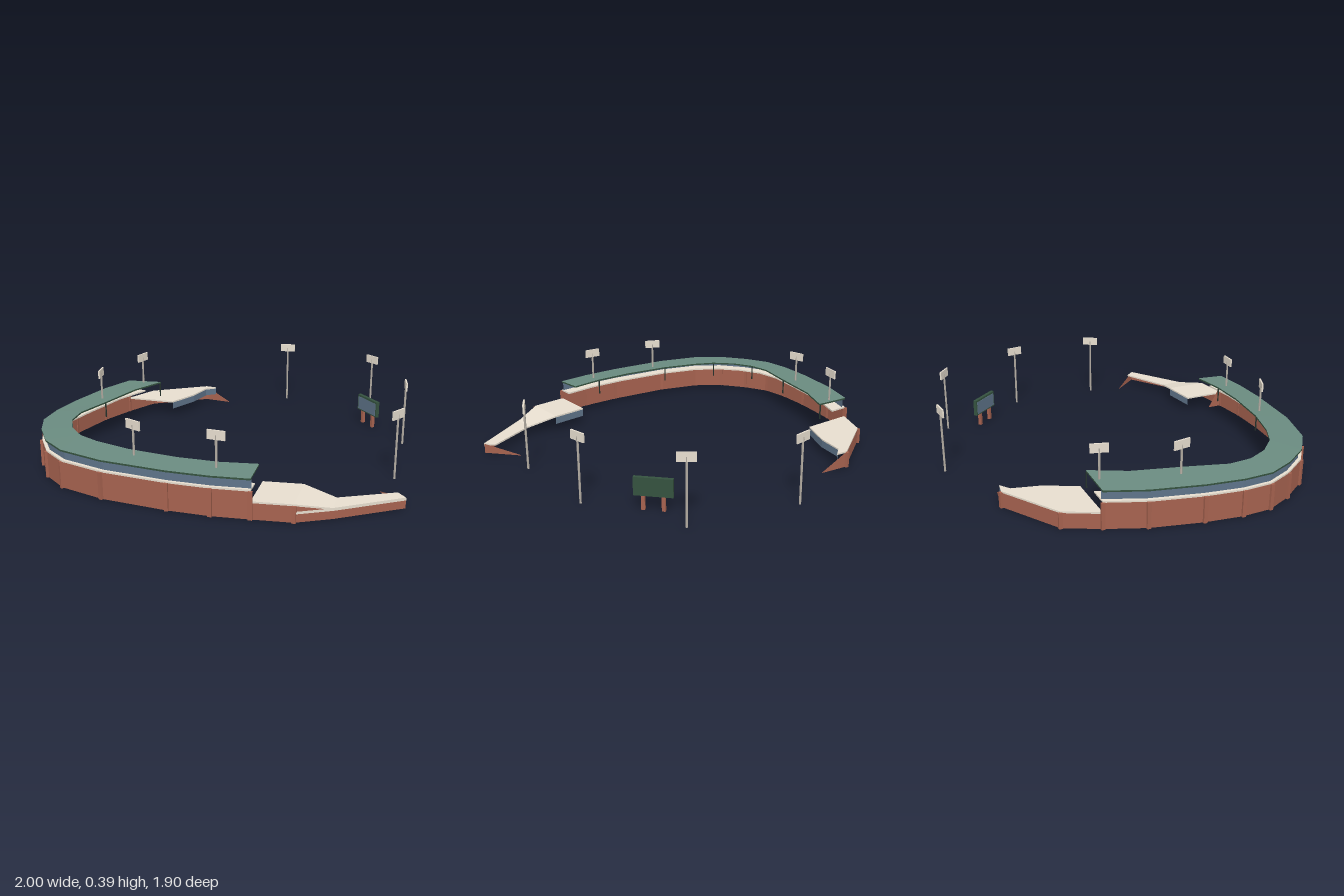
import * as THREE from 'three';

const mat = (name, color) => {
  const m = new THREE.MeshStandardMaterial({ color, side: THREE.DoubleSide, flatShading: true });
  m.name = name;
  return m;
};

export function createModel() {
  const root = new THREE.Group();
  const brick = mat('brick', 0xa6624f), concrete = mat('concrete', 0xe8dfd0);
  const glass = mat('blue glass', 0x5f748a), roofGreen = mat('roof green', 0x6a8b80);
  const darkGreen = mat('dark green', 0x35523f), dark = mat('dark steel', 0x26332d);
  const steel = mat('pole grey', 0xb4ada3);

  const add = (name, geo, material, parent = root) => {
    const m = new THREE.Mesh(geo, material);
    m.name = name;
    parent.add(m);
    return m;
  };

  // Flat-shaded ribbon between two rows of [x, y, z] points
  const ribbon = (name, a, b, material, parent) => {
    const pos = [];
    for (let i = 0; i < a.length - 1; i++) {
      pos.push(...a[i], ...b[i], ...a[i + 1], ...a[i + 1], ...b[i], ...b[i + 1]);
    }
    const g = new THREE.BufferGeometry();
    g.setAttribute('position', new THREE.Float32BufferAttribute(pos, 3));
    g.computeVertexNormals();
    return add(name, g, material, parent);
  };

  // Plan section: [outer x, outer z, inner x, inner z, deck height]; t runs outer to inner
  const row = (secs, t, y) => secs.map((s) => [
    s[0] + (s[2] - s[0]) * t, typeof y === 'function' ? y(s) : y, s[1] + (s[3] - s[1]) * t]);

  // Closed slab between two rows, with its own edge and top material
  const slab = (name, o, i, thick, top, edge) => {
    const g = new THREE.Group();
    g.name = name;
    root.add(g);
    const low = (r) => r.map(([x, y, z]) => [x, y - thick, z]);
    const ol = low(o), il = low(i), n = o.length - 1;
    ribbon(name + 'Top', o, i, top, g);
    ribbon(name + 'Underside', ol, il, edge, g);
    ribbon(name + 'OuterEdge', o, ol, edge, g);
    ribbon(name + 'InnerEdge', i, il, edge, g);
    for (const k of [0, n]) ribbon(name + 'EndEdge', [o[k], i[k]], [ol[k], il[k]], edge, g);
  };

  // Brick triangle closing the end of a stand
  const endWall = (name, [x0, z0], [x1, z1], h) => ribbon(name,
    [[x0, h, z0], [x1, 0.003, z1]], [[x0, 0, z0], [x1, 0, z1]], brick);

  // Brick pilasters standing proud of the outer wall at its corners
  const pilasters = (secs, h) => secs.forEach(([ox, oz, ix, iz]) => {
    const dir = new THREE.Vector2(ox - ix, oz - iz).normalize();
    const m = add('pilaster', new THREE.BoxGeometry(0.02, h, 0.014), brick);
    m.position.set(ox + dir.x * 0.004, h / 2, oz + dir.y * 0.004);
    m.rotation.y = Math.atan2(dir.x, dir.y);
  });

  // Main grandstand sections, from the back end round to the front end
  const main = [
    [-0.82, -0.41, -0.605, -0.405], [-0.9, -0.21, -0.7, -0.215], [-0.962, 0.06, -0.77, 0.06],
    [-0.988, 0.26, -0.83, 0.27], [-0.983, 0.42, -0.82, 0.4], [-0.92, 0.565, -0.765, 0.515],
    [-0.82, 0.71, -0.67, 0.615], [-0.685, 0.815, -0.55, 0.675], [-0.44, 0.89, -0.355, 0.735],
    [-0.09, 0.93, -0.09, 0.775], [0.125, 0.935, 0.125, 0.78], [0.315, 0.92, 0.315, 0.755]];
  ribbon('outerWall', row(main, 0, 0), row(main, 0, 0.14), brick);
  slab('upperDeck', row(main, 0, 0.149), row(main, 0.5, 0.149), 0.009, concrete, concrete);
  ribbon('windowBand', row(main, 0.1, 0.149), row(main, 0.1, 0.198), glass);
  slab('roof', row(main, 0, 0.204), row(main, 1, 0.212), 0.009, roofGreen, darkGreen);
  pilasters(main, 0.142);
  row(main, 0.97, 0).forEach(([x, , z], i) => {
    if (i % 2 === 0) {
      add('roofPost', new THREE.BoxGeometry(0.006, 0.085, 0.006), dark).position.set(x, 0.162, z);
    }
  });
  endWall('standEndWall', [0.315, 0.92], [0.315, 0.84], 0.142);

  // Low wings beyond each end of the grandstand
  const backWing = [[-0.82, -0.41, -0.53, -0.405, 0.09], [-0.73, -0.59, -0.445, -0.58, 0.09],
    [-0.42, -0.78, -0.41, -0.73, 0.09], [-0.42, -0.78, -0.355, -0.77, 0.09]];
  const frontWing = [[0.315, 0.92, 0.315, 0.68, 0.092], [0.515, 0.9, 0.515, 0.66, 0.092],
    [0.68, 0.815, 0.68, 0.695, 0.056], [0.996, 0.61, 0.953, 0.56, 0.056]];
  const top = (s) => s[4];
  for (const [side, wing] of [['back', backWing], ['front', frontWing]]) {
    slab(side + 'WingDeck', row(wing, 0, top), row(wing, 1, top), 0.009, concrete, concrete);
    ribbon(side + 'WingWall', row(wing, 0, 0), row(wing, 0, (s) => s[4] - 0.009), brick);
  }
  ribbon('backWingFascia', row(backWing, 1, 0.042), row(backWing, 1, 0.082), glass);
  ribbon('frontWingFascia', row(frontWing.slice(0, 2), 1, 0.042), row(frontWing.slice(0, 2), 1, 0.083), glass);
  pilasters(backWing.slice(1, 3), 0.085);
  pilasters([frontWing[1]], 0.085);
  endWall('wingEndWall', [-0.42, -0.78], [-0.26, -0.757], 0.088);
  endWall('wingEndWall', [0.996, 0.61], [0.86, 0.45], 0.054);

  // Concrete trim along the front wing wall
  const trim = frontWing.slice(1).map((s) => [s[0] + 0.002, s[1] + 0.003]);
  ribbon('wingTrim', trim.map(([x, z]) => [x, 0.043, z]), trim.map(([x, z]) => [x, 0.056, z]), concrete);

  // Floodlights: [x, z, panel direction x, z, base y, panel centre y]
  const lights = [
    [0.095, -0.94, 0.09, -0.01, 0, 0.35], [0.668, -0.782, 0.07, 0.055, 0, 0.35],
    [0.914, -0.265, 0.015, 0.09, 0, 0.35], [0.914, 0.262, 0.045, -0.075, 0, 0.35],
    [-0.823, 0, 0.015, 0.09, 0.2, 0.365], [-0.712, -0.38, -0.022, 0.08, 0.2, 0.37],
    [-0.3, 0.797, 0.08, 0.036, 0.2, 0.365], [0.13, 0.843, 0.09, 0.008, 0.2, 0.37]];
  for (const [x, z, dx, dz, base, y] of lights) {
    const g = new THREE.Group();
    g.name = 'floodlight';
    g.position.set(x, 0, z);
    g.rotation.y = -Math.atan2(dz, dx);
    root.add(g);
    const h = y - base;
    add('lightPole', new THREE.CylinderGeometry(0.006, 0.006, h, 6), steel, g).position.y = base + h / 2;
    add('lightPanel', new THREE.BoxGeometry(0.092, 0.047, 0.009), concrete, g).position.y = y;
  }

  // Scoreboard on brick legs, its screen facing the field
  const board = new THREE.Group();
  board.name = 'scoreboard';
  board.position.set(0.682, 0, -0.547);
  board.rotation.y = -Math.atan2(0.15, 0.13);
  root.add(board);
  add('boardPanel', new THREE.BoxGeometry(0.195, 0.095, 0.02), darkGreen, board).position.y = 0.122;
  add('boardScreen', new THREE.BoxGeometry(0.175, 0.075, 0.004), glass, board).position.set(0, 0.12, 0.011);
  for (const x of [-0.05, 0.05]) {
    add('boardLeg', new THREE.BoxGeometry(0.018, 0.08, 0.018), brick, board).position.set(x, 0.04, 0);
  }
  return root;
}
